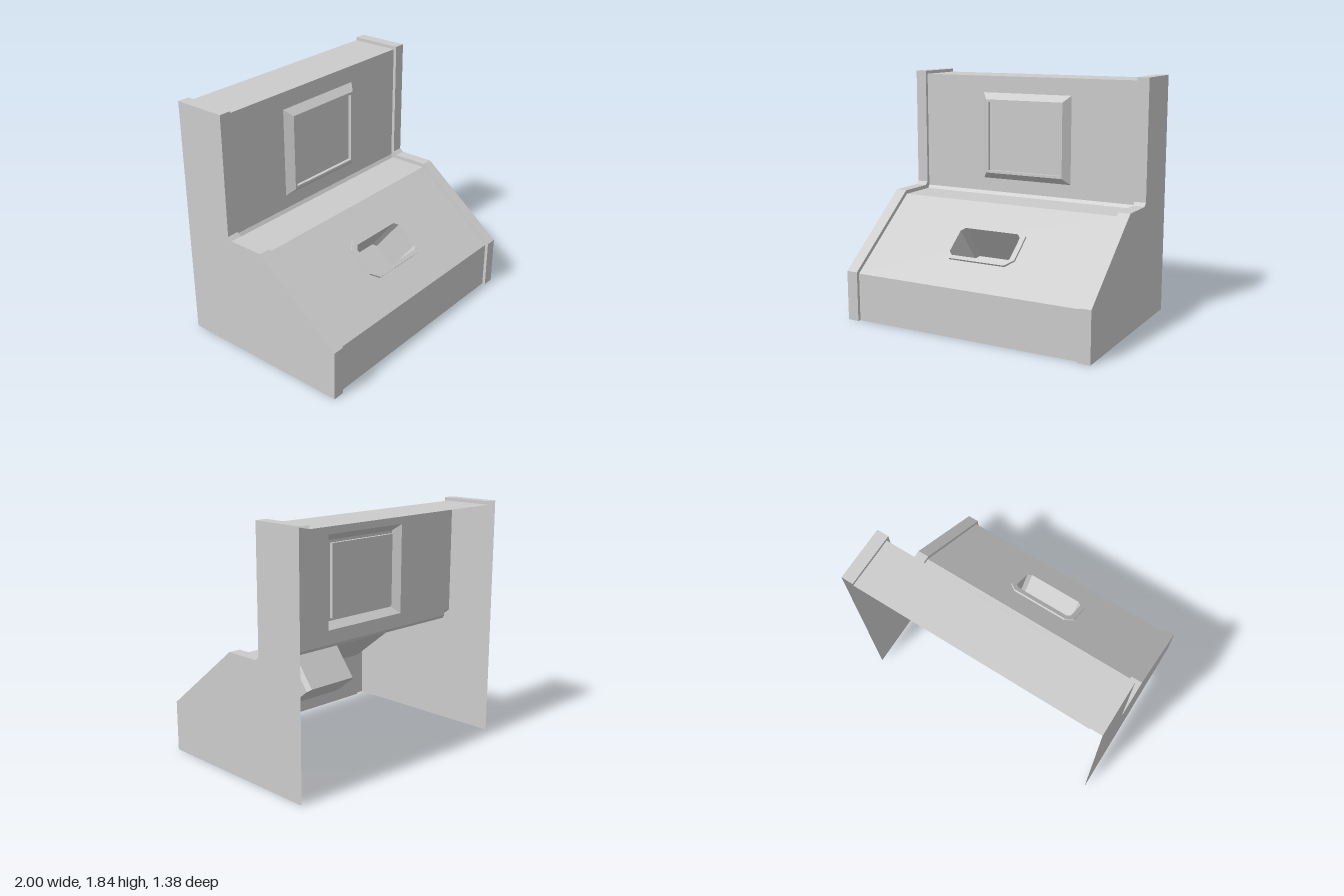
import * as THREE from 'three';

const material = new THREE.MeshStandardMaterial({ color: 0xcccccc, side: THREE.DoubleSide });

function add(parent, name, geometry) {
  const mesh = new THREE.Mesh(geometry, material);
  mesh.name = name;
  parent.add(mesh);
  return mesh;
}

// Flat-faced skin through a list of equally long point rows
function loft(rows, closed = false) {
  const pos = [];
  for (let r = 0; r < rows.length - 1; r++) {
    const a = rows[r], b = rows[r + 1], n = a.length;
    for (let i = 0; i < (closed ? n : n - 1); i++) {
      const j = (i + 1) % n;
      pos.push(...a[i], ...a[j], ...b[j], ...a[i], ...b[j], ...b[i]);
    }
  }
  const g = new THREE.BufferGeometry();
  g.setAttribute('position', new THREE.Float32BufferAttribute(pos, 3));
  g.computeVertexNormals();
  return g;
}

// Rectangle with corners cut by c, centred on x = 0
function outline(hw, y0, y1, c = 0) {
  if (!c) return [[-hw, y0], [hw, y0], [hw, y1], [-hw, y1]];
  return [[-hw + c, y0], [hw - c, y0], [hw, y0 + c], [hw, y1 - c],
    [hw - c, y1], [-hw + c, y1], [-hw, y1 - c], [-hw, y0 + c]];
}
const atZ = (pts, z) => pts.map(([x, y]) => [x, y, z]);
const toVectors = (pts) => pts.map(([x, y]) => new THREE.Vector2(x, y));

function sheet(outer, hole) {
  const shape = new THREE.Shape(toVectors(outer));
  if (hole) shape.holes.push(new THREE.Path(toVectors(hole)));
  return new THREE.ShapeGeometry(shape);
}

export function createModel() {
  const model = new THREE.Group();
  model.name = 'console';

  // Side-on profiles as [z, y], from bottom front to top back
  const rim = [[0.69, 0], [0.69, 0.38], [0.03, 0.9], [-0.25, 0.9],
    [-0.28, 0.925], [-0.28, 1.835], [-0.69, 1.835]];
  const panel = [[0.665, 0], [0.665, 0.365], [0.02, 0.87], [-0.288, 0.87],
    [-0.305, 0.895], [-0.305, 1.81], [-0.69, 1.81]];
  const inner = 0.91;
  const atX = (profile, x) => profile.map(([z, y]) => [x, y, z]);

  // Side walls with their raised rims
  for (const s of [1, -1]) {
    const side = new THREE.Group();
    side.name = s > 0 ? 'leftSide' : 'rightSide';
    model.add(side);
    const wall = add(side, 'sideWall', sheet([...rim, [-0.69, 0]].map(([z, y]) => [-z, y])));
    wall.rotation.y = Math.PI / 2;
    wall.position.x = s;
    add(side, 'sideRim', loft([atX(rim, s), atX(rim, s * inner), atX(panel, s * inner)]));
  }

  // Plain panels between the sides
  const span = (name, from, to) => {
    const part = panel.slice(from, to + 1);
    add(model, name, loft([atX(part, -inner), atX(part, inner)]));
  };
  span('frontPanel', 0, 1);
  span('ledge', 2, 4);
  span('topPanel', 5, 6);

  // Upright panel with the screen opening
  const back = new THREE.Group();
  back.name = 'uprightPanel';
  back.position.z = -0.305;
  model.add(back);
  const frame = outline(0.38, 1.0, 1.68);
  const lip = outline(0.33, 1.05, 1.63);
  const glass = outline(0.31, 1.07, 1.61);
  add(back, 'uprightSheet', sheet(outline(inner, 0.895, 1.81), frame));
  add(back, 'screenFrame', loft([atZ(frame, 0), atZ(lip, 0.055), atZ(glass, 0.055), atZ(glass, 0.03)], true));
  add(back, 'screen', sheet(glass)).position.z = 0.03;

  // Sloping panel with a raised rim around a deep tray
  const dz = 0.02 - 0.665, dy = 0.87 - 0.365;
  const slope = new THREE.Group();
  slope.name = 'slopingPanel';
  slope.position.set(0, 0.365, 0.665);
  slope.rotation.x = Math.atan2(dz, dy);
  model.add(slope);
  const rimOuter = outline(0.29, 0.248, 0.59, 0.06);
  const rimInner = outline(0.25, 0.28, 0.54, 0.03);
  const depth = -0.32;
  add(slope, 'slopeSheet', sheet(outline(inner, 0, Math.hypot(dz, dy)), rimOuter));
  add(slope, 'trayRim', loft([atZ(rimOuter, 0), atZ(rimOuter, 0.015), atZ(rimInner, 0.015)], true));
  add(slope, 'trayWalls', loft([atZ(rimInner, 0.015), atZ(rimInner, depth)], true));
  add(slope, 'trayFloor', sheet(rimInner)).position.z = depth;

  return model;
}
